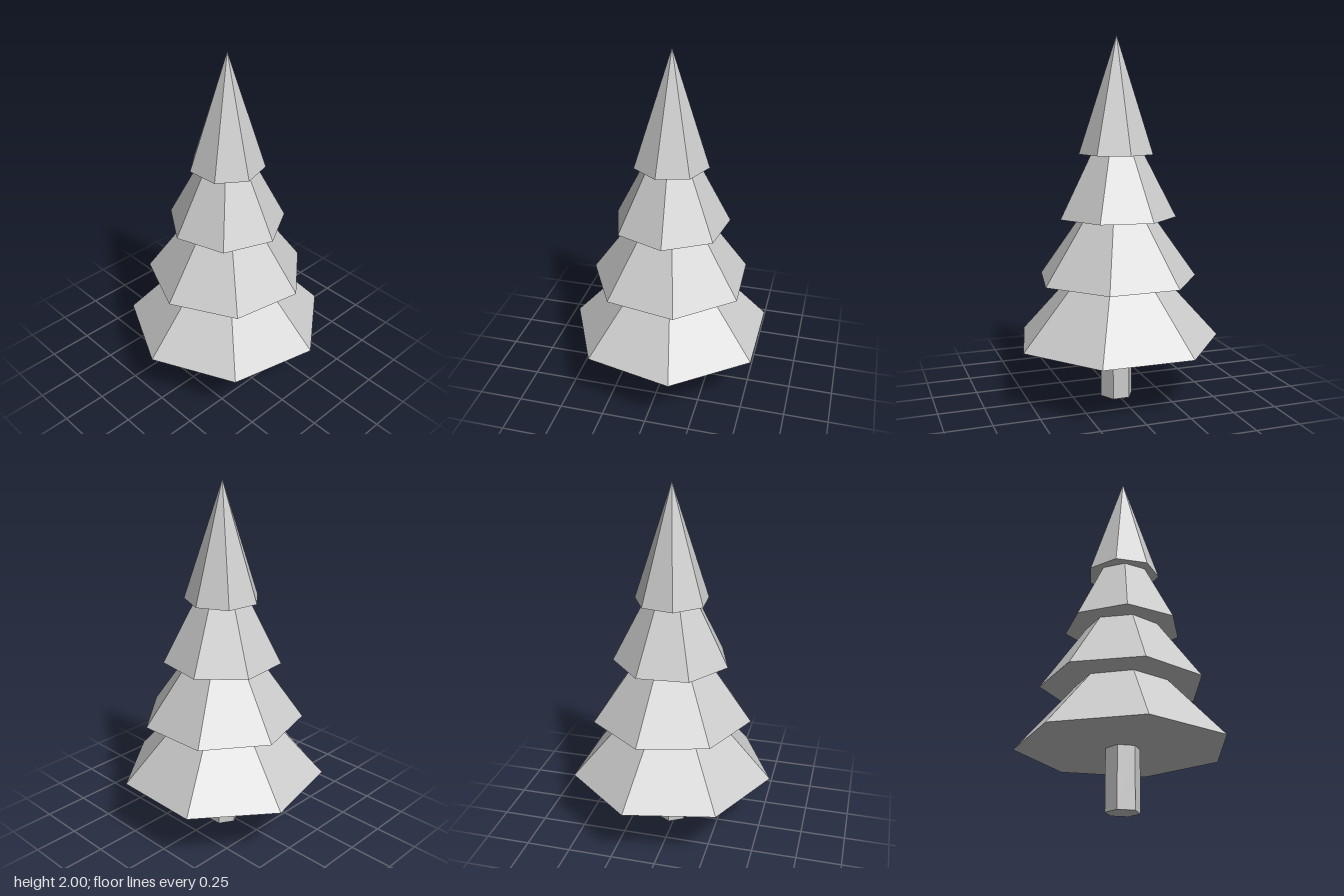
import * as THREE from 'three';

export function createModel() {
  const tree = new THREE.Group();
  tree.name = 'tree';
  const paleGrey = new THREE.MeshStandardMaterial({ color: 0xcccccc });
  paleGrey.name = 'paleGrey';

  const axisX = 0.026;

  function addPart(name, geometry, y) {
    const flat = geometry.toNonIndexed();
    flat.computeVertexNormals(); // faceted look
    const mesh = new THREE.Mesh(flat, paleGrey);
    mesh.name = name;
    mesh.position.set(axisX, y, 0);
    tree.add(mesh);
  }

  // Six-sided trunk, running a little way into the lowest tier
  const trunkHeight = 0.36;
  addPart('trunk', new THREE.CylinderGeometry(0.093, 0.093, trunkHeight, 6), trunkHeight / 2);

  // Overlapping seven-sided cones, each turned a little: [radius, turn in degrees]
  const tierHeight = 0.635, firstBase = 0.333, spacing = 0.344;
  const tiers = [[0.576, 0.4], [0.451, -2.2], [0.328, 8.3], [0.207, 23.1]];
  tiers.forEach(([radius, turn], i) => {
    const start = THREE.MathUtils.degToRad(-90 - turn);
    const cone = new THREE.ConeGeometry(radius, tierHeight, 7, 1, false, start);
    addPart(`foliageTier${i + 1}`, cone, firstBase + i * spacing + tierHeight / 2);
  });

  return tree;
}
